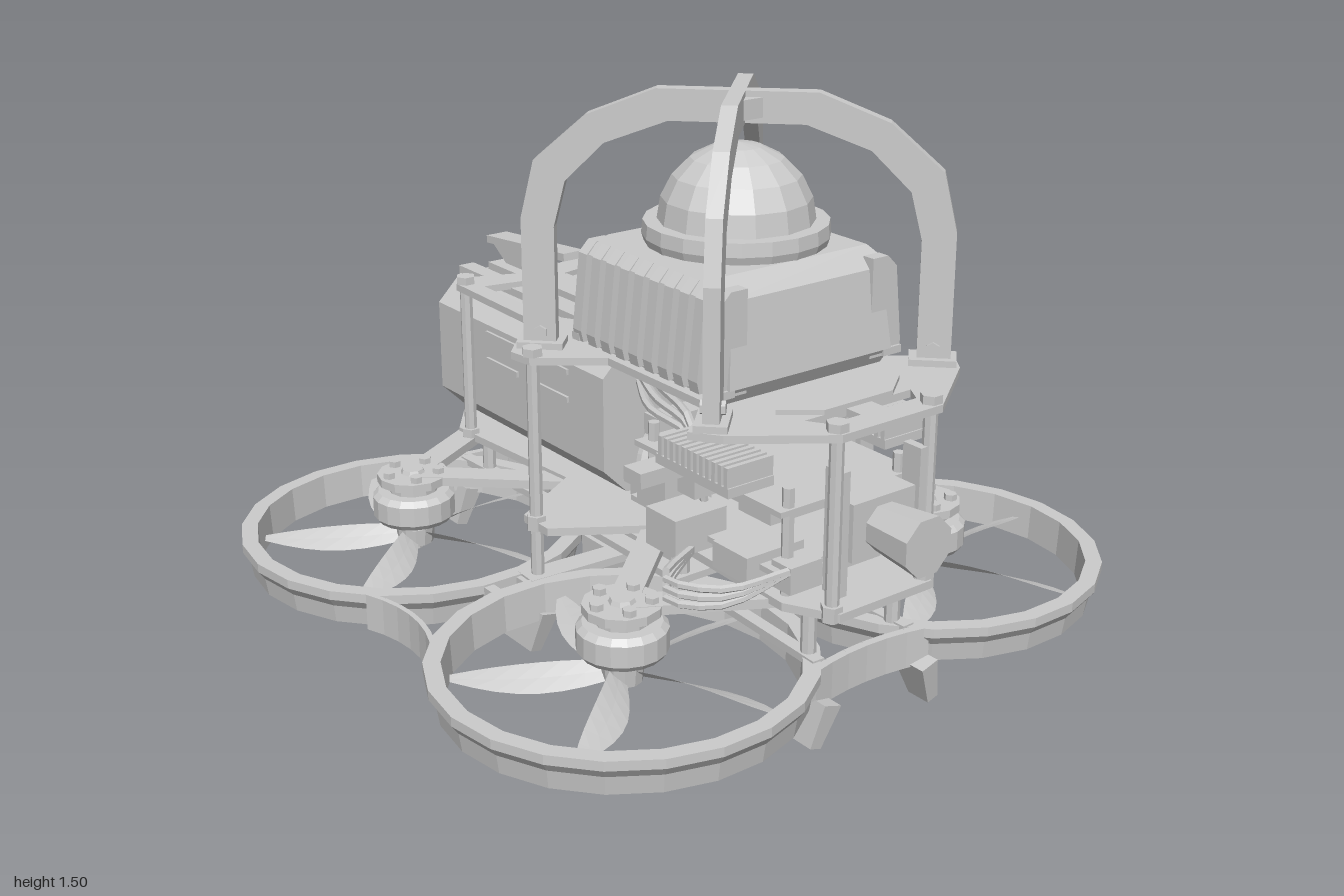
import * as THREE from 'three';

const mat = new THREE.MeshStandardMaterial({ color: 0xcccccc, flatShading: true });
const thin = new THREE.MeshStandardMaterial({ color: 0xcccccc, flatShading: true, side: THREE.DoubleSide });
const V = (x, y, z) => new THREE.Vector3(x, y, z);

export function createModel() {
  const root = new THREE.Group();
  const add = (name, geo, x = 0, y = 0, z = 0, parent = root, m = mat) => {
    const mesh = new THREE.Mesh(geo, m);
    mesh.name = name;
    mesh.position.set(x, y, z);
    parent.add(mesh);
    return mesh;
  };
  // box given by its limits
  const box = (name, x0, x1, y0, y1, z0, z1, parent = root) =>
    add(name, new THREE.BoxGeometry(x1 - x0, y1 - y0, z1 - z0), (x0 + x1) / 2, (y0 + y1) / 2, (z0 + z1) / 2, parent);
  const cyl = (name, r0, r1, y0, y1, x, z, n = 10, parent = root) =>
    add(name, new THREE.CylinderGeometry(r1, r0, y1 - y0, n), x, (y0 + y1) / 2, z, parent);
  // flat bar between two points in plan
  const bar = (name, x0, z0, x1, z1, y, w, h) => {
    const b = add(name, new THREE.BoxGeometry(Math.hypot(x1 - x0, z1 - z0), h, w), (x0 + x1) / 2, y, (z0 + z1) / 2);
    b.rotation.y = -Math.atan2(z1 - z0, x1 - x0);
  };
  const shape = (pts) => new THREE.Shape(pts.map((p) => new THREE.Vector2(p[0], p[1])));
  const extrude = (s, depth) => new THREE.ExtrudeGeometry(s, { depth, bevelEnabled: false });
  const mirrored = (half) => [...half, ...half.map((p) => [p[0], -p[1]]).reverse()];
  const plate = (name, s, top, h) => add(name, extrude(s, h).rotateX(Math.PI / 2), 0, top, 0);
  const wire = (name, pts, r) =>
    add(name, new THREE.TubeGeometry(new THREE.CatmullRomCurve3(pts.map((p) => V(...p))), 12, r, 6));
  const both = (fn) => [-1, 1].forEach(fn);

  // ---- propeller blade: tapered, slightly swept and twisted sheet
  const bladeGeo = new THREE.PlaneGeometry(1, 1, 7, 2);
  const p = bladeGeo.attributes.position;
  for (let i = 0; i < p.count; i++) {
    const u = p.getX(i) + 0.5, v = p.getY(i);
    const chord = 0.04 + 0.05 * Math.sin(Math.PI * Math.min(1, u * 0.8 + 0.1)) - 0.03 * u ** 4;
    const pitch = 0.7 - 0.45 * u;
    p.setXYZ(i, 0.04 + 0.38 * u, -v * chord * Math.sin(pitch),
      -v * chord * Math.cos(pitch) - 0.022 * Math.sin(Math.PI * u) - 0.006 * u);
  }

  // ---- duct ring section, flared at the top
  const ringGeo = new THREE.LatheGeometry([[0.435, 0.115], [0.458, 0.115], [0.466, 0.165], [0.484, 0.19], [0.484, 0.215],
    [0.44, 0.215], [0.435, 0.115]].map((q) => new THREE.Vector2(q[0], q[1])), 22);

  // ---- four rotors, each with duct, motor and propeller
  for (const cx of [-0.515, 0.485]) for (const cz of [-0.505, 0.505]) {
    const rotor = new THREE.Group();
    rotor.name = 'rotor';
    rotor.position.set(cx, 0, cz);
    root.add(rotor);
    add('ductRing', ringGeo, 0, 0, 0, rotor, thin);
    cyl('motorBell', 0.104, 0.115, 0.225, 0.24, 0, 0, 18, rotor);
    cyl('motorBell', 0.115, 0.115, 0.24, 0.295, 0, 0, 18, rotor);
    cyl('motorBell', 0.115, 0.1, 0.295, 0.31, 0, 0, 18, rotor);
    cyl('motorBase', 0.07, 0.07, 0.31, 0.335, 0, 0, 12, rotor);
    cyl('motorMount', 0.1, 0.1, 0.335, 0.358, 0, 0, 12, rotor);
    cyl('motorBoss', 0.035, 0.03, 0.358, 0.37, 0, 0, 8, rotor);
    cyl('motorShaft', 0.02, 0.02, 0.13, 0.23, 0, 0, 8, rotor);
    cyl('propHub', 0.05, 0.055, 0.15, 0.2, 0, 0, 12, rotor);
    for (let i = 0; i < 5; i++) {
      const a = ((22 + 72 * i) * Math.PI) / 180;
      add('propBlade', bladeGeo, 0, 0.175, 0, rotor, thin).rotation.y = a;
      cyl('motorScrew', 0.018, 0.018, 0.358, 0.375, 0.072 * Math.cos(a), 0.072 * Math.sin(a), 6, rotor);
    }
    // V-shaped arms to the body
    both((s) => bar('motorArm', cx, cz, cx + s * (cx * s > 0 ? 0.2 : 0.32), Math.sign(cz) * 0.15, 0.347, 0.075, 0.025));
  }

  // ---- curved bridges joining neighbouring ducts, and landing feet
  const bridge = (a, mid, b, w) => {
    const pts = new THREE.QuadraticBezierCurve3(a, mid, b).getPoints(6);
    for (let i = 0; i < 6; i++) bar('ductBridge', pts[i].x, pts[i].z, pts[i + 1].x, pts[i + 1].z, 0.165, w, 0.1);
  };
  const foot = (x, z, w, d, lean) => {
    const f = add('landingFoot', new THREE.CylinderGeometry(0.7, 0.45, 0.12, 4).rotateY(Math.PI / 4), x, 0.073, z);
    f.scale.set(w, 1, d);
    f.rotation.x = lean;
  };
  both((s) => {
    bridge(V(-0.18, 0, s * 0.84), V(-0.015, 0, s * 0.77), V(0.15, 0, s * 0.84), 0.014);
    bridge(V(s * 0.84 - 0.015, 0, -0.19), V(s * 0.79 - 0.015, 0, 0), V(s * 0.84 - 0.015, 0, 0.19), 0.022);
    bar('ductTie', -0.04, s * 0.56, 0.01, s * 0.56, 0.19, 0.03, 0.04);
    bar('ductTie', -0.04, s * 0.46, 0.01, s * 0.46, 0.19, 0.03, 0.04);
    foot(-0.04, s * 0.45, 0.22, 0.05, -s * 0.2);
    both((t) => foot(t * 0.815, s * 0.18, 0.11, 0.055, -s * 0.3));
  });
  box('bellySensor', -0.13, 0.08, 0.04, 0.13, -0.075, 0.075);
  both((s) => box('bellyBracket', -0.17, 0.15, 0.1, 0.2, s * 0.155 - 0.015, s * 0.155 + 0.015));
  box('bellyPlate', -0.22, 0.28, 0.22, 0.24, -0.18, 0.18);
  box('bellyBoard', -0.15, 0.2, 0.25, 0.265, -0.14, 0.14);
  box('bellyModule', -0.12, 0.08, 0.29, 0.315, -0.12, 0.12);
  both((s) => {
    bar('bellyArm', 0, s * 0.15, -0.015, s * 0.46, 0.205, 0.07, 0.022);
    [-0.7, -0.34, 0.25, 0.75].forEach((x) => cyl('lowerPost', 0.02, 0.02, 0.2, 0.35, x, s * 0.14, 8));
    bar('lowerStrut', -0.82, s * 0.15, -0.2, s * 0.12, 0.21, 0.035, 0.02);
    bar('lowerStrut', 0.8, s * 0.15, 0.2, s * 0.12, 0.21, 0.035, 0.02);
  });

  // ---- bottom deck
  plate('bottomDeck', shape(mirrored([[0.87, 0.15], [0.74, 0.22], [0.2, 0.2], [0.05, 0.43], [-0.06, 0.43],
    [-0.2, 0.2], [-0.7, 0.24], [-0.82, 0.15]])), 0.37, 0.022);

  // ---- top deck: side rails at the rear, cut-outs at the front
  const top = shape(mirrored([[0.87, 0.16], [0.71, 0.38], [0.64, 0.43], [0.52, 0.28], [0.12, 0.28], [0.0, 0.44],
    [-0.07, 0.45], [-0.27, 0.265], [-0.66, 0.255], [-0.7, 0.21], [-0.64, 0.06]]));
  const hole = (pts) => top.holes.push(new THREE.Path(pts.map((q) => new THREE.Vector2(q[0], q[1]))));
  both((s) => {
    hole([[-0.59, s * 0.205], [-0.25, s * 0.205], [-0.1, s * 0.12], [-0.1, s * 0.05], [-0.56, s * 0.05]]);
    hole([[0.75, s * 0.17], [0.8, s * 0.14], [0.8, s * 0.04], [0.75, s * 0.04]]);
  });
  plate('topDeck', top, 0.828, 0.02);
  plate('deckRib', shape(mirrored([[0.68, 0.2], [0.75, 0.11]])), 0.84, 0.014);

  // ---- standoffs
  both((s) => [[-0.65, 0.23, 0.36], [-0.015, 0.42, 0.2], [0.84, 0.15, 0.34]].forEach(([x, z, y0]) => {
    cyl('standoff', 0.018, 0.018, y0, 0.85, x, s * z, 8);
    cyl('standoffCap', 0.028, 0.028, 0.828, 0.85, x, s * z, 6);
    cyl('standoffCollar', 0.028, 0.028, 0.345, 0.385, x, s * z, 6);
  }));

  // ---- battery: chamfered block with side slats and top rails
  const cham = (w, y0, y1, c) => shape([[-w + c, y0], [w - c, y0], [w, y0 + c], [w, y1 - c], [w - c, y1],
    [-w + c, y1], [-w, y1 - c], [-w, y0 + c]]);
  add('battery', extrude(cham(0.205, 0.375, 0.79, 0.075), 0.84).rotateY(Math.PI / 2), -0.85, 0, 0);
  add('batteryCap', extrude(cham(0.19, 0.385, 0.785, 0.075), 0.03).rotateY(Math.PI / 2), -0.867, 0, 0);
  both((s) => {
    [0.61, 0.69].forEach((y) => [-0.5, -0.25].forEach((x) =>
      box('batterySlat', x - 0.08, x + 0.08, y - 0.008, y + 0.008, s * 0.205 - 0.008, s * 0.205 + 0.008)));
    box('batteryRail', -0.86, -0.06, 0.785, 0.812, s * 0.1 - 0.025, s * 0.1 + 0.025);
  });

  // ---- tilted antenna on the rear
  add('antennaPlate', new THREE.BoxGeometry(0.41, 0.022, 0.07), -0.64, 0.9, 0).rotation.z = 0.09;
  add('antennaWedge', extrude(shape([[-0.84, 0.88], [-0.75, 0.82], [-0.57, 0.82], [-0.6, 0.89]]), 0.05), 0, 0, -0.025);
  cyl('antennaPivot', 0.03, 0.03, 0.83, 0.88, -0.61, 0, 8);
  box('antennaFoot', -0.8, -0.46, 0.8, 0.825, -0.06, 0.06);

  // ---- scanner: tapered finned housing, collar and dome
  const scanner = new THREE.Group();
  scanner.name = 'scanner';
  scanner.position.x = 0.285;
  root.add(scanner);
  const tier = (y0, y1, w0, w1, d0, d1) => {
    const g = new THREE.BoxGeometry(1, y1 - y0, 1), q = g.attributes.position;
    for (let i = 0; i < q.count; i++) {
      const up = q.getY(i) > 0;
      q.setX(i, q.getX(i) * 2 * (up ? w1 : w0));
      q.setZ(i, q.getZ(i) * 2 * (up ? d1 : d0));
    }
    add('scannerHousing', g, 0, (y0 + y1) / 2, 0, scanner);
  };
  tier(0.825, 0.87, 0.27, 0.295, 0.25, 0.26);
  tier(0.87, 1.08, 0.3, 0.275, 0.26, 0.24);
  tier(1.08, 1.13, 0.275, 0.23, 0.275, 0.23);
  both((s) => [0.28, -0.28].forEach((x) => box('housingCorner', x - 0.015, x + 0.015, 0.85, 0.87, s * 0.27 - 0.03,
    s * 0.27 + 0.03, scanner)));
  const finGeo = extrude(shape([[0.2, 0.85], [0.295, 0.85], [0.302, 0.88], [0.28, 1.08], [0.25, 1.11], [0.2, 1.11]]),
    0.036).rotateY(-Math.PI / 2).translate(0.018, 0, 0);
  both((s) => {
    for (let i = 0; i < 10; i++) {
      add('coolingFin', finGeo, (i - 4.5) * 0.06, 0, 0, scanner).rotation.y = s < 0 ? Math.PI : 0;
    }
  });
  cyl('scannerPlug', 0.04, 0.04, 0.96, 1.02, -0.31, 0.06, 10, scanner).rotation.z = Math.PI / 2;
  cyl('domeCollar', 0.225, 0.238, 1.11, 1.15, 0, 0, 20, scanner);
  cyl('domeCollar', 0.238, 0.235, 1.15, 1.185, 0, 0, 20, scanner);
  add('dome', new THREE.SphereGeometry(0.2, 14, 5, 0, Math.PI * 2, 0, Math.PI / 2), 0, 1.18, 0, scanner);

  // ---- two crossed guard hoops over the dome
  const outer = [[0.545, 0.83], [0.545, 1.17], [0.51, 1.32], [0.375, 1.44], [0.2, 1.51]];
  const inner = [[0.17, 1.43], [0.33, 1.37], [0.43, 1.27], [0.46, 1.15], [0.46, 0.83]];
  const flip = (a) => a.map((q) => [-q[0], q[1]]).reverse();
  const hoopGeo = extrude(shape([...outer, ...flip(outer), ...flip(inner), ...inner]), 0.04).translate(0, 0, -0.02);
  both((s) => {
    const hoop = add('guardHoop', hoopGeo, 0, 0, 0, scanner);
    hoop.rotation.y = (s * Math.PI) / 4;
    both((t) => {
      box('hoopFoot', t * 0.5 - 0.06, t * 0.5 + 0.06, 0.825, 0.845, -0.04, 0.04, hoop);
      cyl('hoopBolt', 0.018, 0.018, 0.84, 0.9, t * 0.5, 0, 6, hoop).rotation.x = Math.PI / 2;
    });
  });
  box('hoopJoint', -0.06, 0.06, 1.445, 1.495, -0.03, 0.03, scanner);

  // ---- front camera on its bracket
  const snout = add('frontCamera', new THREE.CylinderGeometry(0.078, 0.06, 0.17, 8).rotateY(Math.PI / 8), 0.915, 0.55, 0);
  snout.rotation.z = -Math.PI / 2;
  box('cameraBody', 0.78, 0.85, 0.48, 0.63, -0.1, 0.1);
  both((s) => box('cameraBracket', 0.79, 0.85, 0.4, 0.72, s * 0.125 - 0.012, s * 0.125 + 0.012));

  // ---- electronics stack
  box('lowerBoard', 0.16, 0.74, 0.44, 0.455, -0.2, 0.24);
  box('upperBoard', 0.15, 0.73, 0.585, 0.6, -0.22, 0.22);
  both((s) => {
    const z = s * 0.25 + 0.02;
    box('heatSinkBase', 0.4, 0.68, 0.65, 0.675, z - 0.07, z + 0.07);
    for (let i = 0; i < 12; i++) box('heatSinkFin', 0.41 + i * 0.023, 0.423 + i * 0.023, 0.67, 0.725, z - 0.07, z + 0.07);
    [0.18, 0.71].forEach((x) => cyl('stackPost', 0.016, 0.016, 0.37, 0.65, x, s * 0.18, 6));
  });
  [[0.2, 0.32, 0.455, 0.56, 0.1, 0.25], [0.36, 0.48, 0.42, 0.52, 0.18, 0.34], [0.55, 0.68, 0.41, 0.48, 0.1, 0.28],
    [0.55, 0.67, 0.54, 0.58, -0.2, 0.2], [0.3, 0.5, 0.455, 0.54, -0.2, 0.05], [0.22, 0.3, 0.45, 0.53, -0.43, -0.2],
    [0.2, 0.32, 0.43, 0.55, -0.47, -0.42], [0.42, 0.52, 0.42, 0.5, -0.36, -0.16], [0.37, 0.44, 0.54, 0.6, 0.12, 0.25],
    [0.03, 0.1, 0.54, 0.61, -0.1, 0.1], [0.24, 0.7, 0.375, 0.41, -0.14, 0.14], [0.35, 0.42, 0.6, 0.64, 0.2, 0.4],
    [0.7, 0.77, 0.4, 0.47, 0.12, 0.22], [0.02, 0.07, 0.38, 0.46, 0.06, 0.14],
  ].forEach((b) => box('module', ...b));

  // ---- cables
  both((s) => [0, 1, 2].forEach((i) => wire('powerCable', [[-0.02, 0.73 - i * 0.022, s * 0.08],
    [0.15, 0.72 - i * 0.022, s * (0.13 + i * 0.02)], [0.36, 0.71 - i * 0.02, s * 0.2], [0.41, 0.63, s * 0.22],
    [0.42, 0.5, s * 0.2]], 0.011)));
  [0, 1, 2].forEach((i) => wire('looseCable', [[0.45, 0.43, 0.25], [0.6, 0.4 + i * 0.025, 0.46],
    [0.74, 0.42 + i * 0.02, 0.4], [0.76, 0.46, 0.2]], 0.01));
  wire('rearCable', [[0.04, 0.6, 0.05], [0.05, 0.48, 0.12], [0.08, 0.38, 0.12]], 0.018);
  return root;
}
